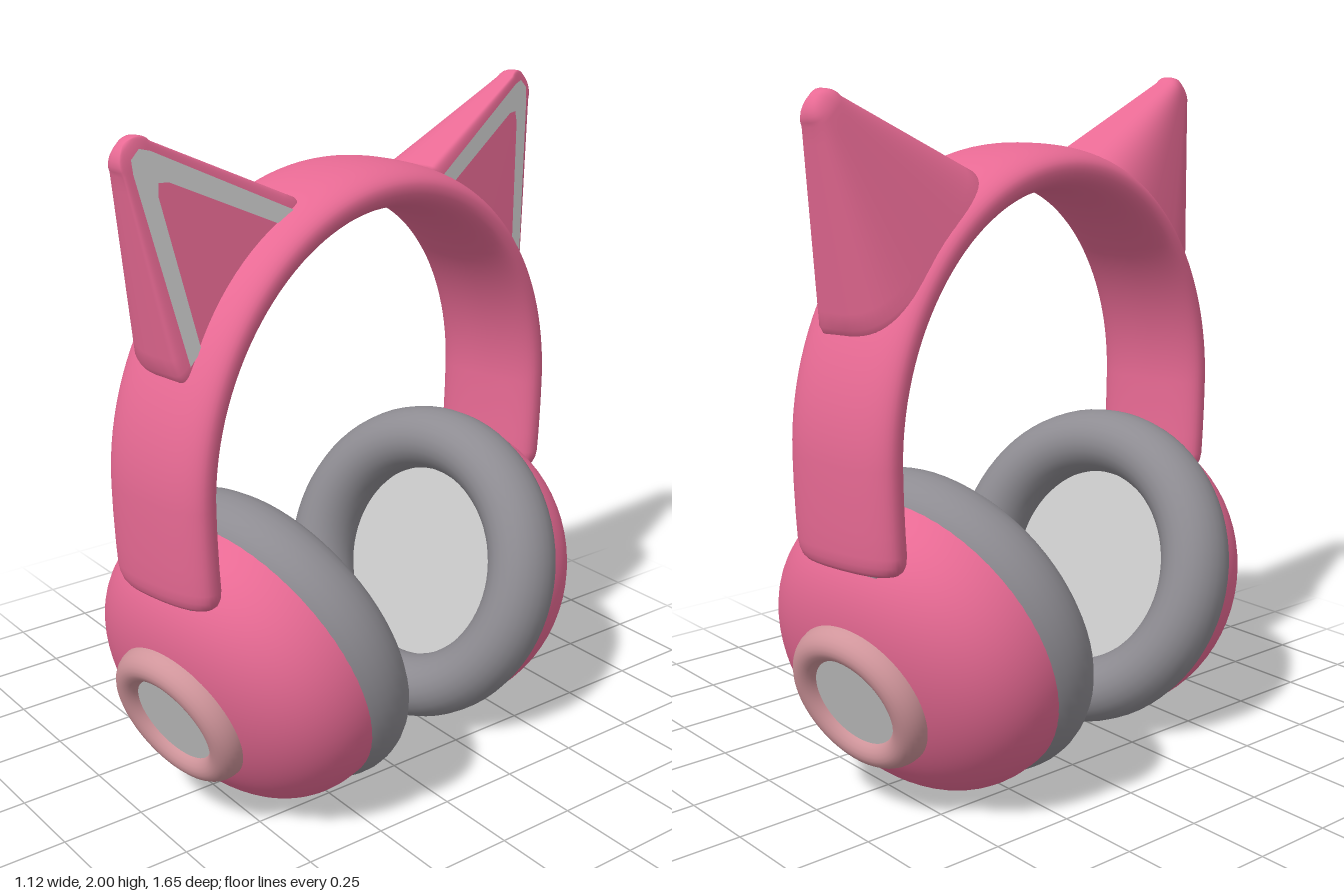
import * as THREE from 'three';

const PINK = 0xe86a94, ROSE = 0xd0959b, PAD = 0x8e8c92, GREY = 0xcccccc;
const TILT = 0.332; // lean of the ear cups
const YAW = 0.19;   // turn of the whole headset

function part(name, geometry, color, side = THREE.FrontSide) {
  const mesh = new THREE.Mesh(geometry, new THREE.MeshStandardMaterial({ color, side }));
  mesh.name = name;
  return mesh;
}

// Unit superellipse, power 2 is a circle, larger is boxier; the two halves may differ
function superellipse(n, pUpper, pLower = pUpper) {
  const f = (v, p) => Math.sign(v) * Math.abs(v) ** (2 / p);
  return Array.from({ length: n }, (_, i) => {
    const a = (i / n) * Math.PI * 2, p = i < n / 2 ? pUpper : pLower;
    return [f(Math.cos(a), p), f(Math.sin(a), p)];
  });
}

// Skin over closed rings of [x, y, z], with both ends capped
function loft(rings) {
  const n = rings[0].length, last = rings.length - 1;
  const pos = rings.flat(2), idx = [];
  for (let j = 0; j < last; j++) {
    for (let i = 0; i < n; i++) {
      const a = j * n + i, b = j * n + (i + 1) % n;
      idx.push(a, b, a + n, b, b + n, a + n);
    }
  }
  for (const j of [0, last]) {
    const c = pos.length / 3;
    for (let k = 0; k < 3; k++) pos.push(rings[j].reduce((s, v) => s + v[k], 0) / n);
    for (let i = 0; i < n; i++) {
      const a = j * n + i, b = j * n + (i + 1) % n;
      if (j === 0) idx.push(c, b, a); else idx.push(c, a, b);
    }
  }
  const g = new THREE.BufferGeometry();
  g.setAttribute('position', new THREE.Float32BufferAttribute(pos, 3));
  g.setIndex(idx);
  g.computeVertexNormals();
  return g;
}

// Mirrored copy across z = 0 with the winding put right
function mirrorZ(geometry) {
  const g = geometry.clone().scale(1, 1, -1);
  const a = g.index.array;
  for (let i = 0; i < a.length; i += 3) [a[i], a[i + 1]] = [a[i + 1], a[i]];
  g.computeVertexNormals();
  return g;
}

// Headband: an arch with short legs and rounded ends
function headbandGeometry() {
  const R = 0.725, cy = 1.042, section = superellipse(48, 2.4);
  const stations = []; // [y, z, normalY, normalZ, scale]
  const leg = [[0.748, 0.72], [0.752, 0.82], [0.762, 0.91], [0.78, 0.97], [0.805, 1], [0.87, 1], [0.96, 1]];
  const legAt = ([y, s], sign) => [y, sign * (R - 0.17 * (cy - y) ** 2), 0, sign, s];
  leg.forEach((l) => stations.push(legAt(l, -1)));
  for (let i = 0; i <= 64; i++) {
    const a = (i / 64) * Math.PI, c = -Math.cos(a), s = Math.sin(a);
    stations.push([cy + R * s, R * c, s, c, 1]);
  }
  leg.slice().reverse().forEach((l) => stations.push(legAt(l, 1)));
  return loft(stations.map(([y, z, ny, nz, s]) => section.map(([w, h]) => {
    const t = 0.0675 * h * s;
    return [0.185 * w * (1 - (1 - s) * 0.7), y + ny * t, z + nz * t];
  })));
}

// Ear surface: a runs along the base, t from the base to the tip
const earPoint = (a, t) => [1.588 + 0.452 * t - 0.198 * a, 0.51 + 0.343 * t + 0.222 * a];
const earFront = (t) => 0.1 - 0.088 * t;
const earBack = (t) => -0.168 + 0.148 * t;

// Flat front, rounded back, soft tip; the base is sunk into the band
function earGeometry() {
  const section = superellipse(64, 8, 3.2), rings = [];
  const add = (t, half, round) => {
    const front = earFront(t), depth = front - earBack(t), seam = front - depth * 0.25;
    rings.push(section.map(([a, w]) =>
      [seam + w * round * depth * (w > 0 ? 0.25 : 0.75), ...earPoint(a * half, t)]));
  };
  add(-0.07, 1, 1);
  for (let i = 0; i <= 12; i++) add(i / 15, 1 - i / 15, 1);
  for (let i = 1; i <= 6; i++) {
    const a = (i / 6) * Math.PI * 0.48;
    add(0.8 + 0.085 * Math.sin(a), 0.2 * Math.cos(a), Math.cos(a) ** 0.6);
  }
  return loft(rings);
}

// Light strip along the two free edges of the ear's front
function earTrimGeometry() {
  const outline = [[-0.87, 0], [-0.13, 0.78], [-0.06, 0.83], [0.06, 0.83], [0.13, 0.78], [0.87, 0],
    [0.69, 0], [0.08, 0.62], [0, 0.66], [-0.08, 0.62], [-0.69, 0]];
  const g = new THREE.ShapeGeometry(new THREE.Shape(outline.map((p) => new THREE.Vector2(...p))));
  const p = g.attributes.position;
  for (let i = 0; i < p.count; i++) {
    const a = p.getX(i), t = p.getY(i);
    p.setXYZ(i, earFront(t) + 0.003, ...earPoint(a, t));
  }
  g.computeVertexNormals();
  return g;
}

// Ear cup, built along +y (outwards) and then leaned
function earCup(name) {
  const cup = new THREE.Group();
  cup.name = name;

  const profile = [new THREE.Vector2(0.38, 0.02), new THREE.Vector2(0.46, 0.03)];
  for (let i = 0; i <= 24; i++) {
    const a = (i / 24) * 1.22;
    profile.push(new THREE.Vector2(0.47 * Math.cos(a) ** 0.8, 0.05 + 0.345 * Math.sin(a) ** 0.8));
  }
  profile.push(new THREE.Vector2(0.1, 0.376), new THREE.Vector2(0, 0.376));
  cup.add(part('cupShell', new THREE.LatheGeometry(profile, 64), PINK));

  // Torus lying flat, its tube stretched along the cup axis
  const flatTorus = (R, r, stretch, y) =>
    new THREE.TorusGeometry(R, r, 24, 72).rotateX(Math.PI / 2).scale(1, stretch, 1).translate(0, y, 0);
  cup.add(part('earPad', flatTorus(0.4, 0.1, 1.15, 0.015), PAD));
  cup.add(part('speakerCover',
    new THREE.CircleGeometry(0.4, 48).rotateX(Math.PI / 2).translate(0, 0.075, 0), GREY, THREE.DoubleSide));

  // Round badge on the outside
  cup.add(part('badgeRing', flatTorus(0.18, 0.05, 1.25, 0.37), ROSE));
  cup.add(part('badgePlate',
    new THREE.CircleGeometry(0.15, 8).rotateX(-Math.PI / 2).translate(0, 0.404, 0), GREY));

  cup.position.set(0, 0.49, 0.337);
  cup.rotation.x = Math.PI / 2 + TILT;
  return cup;
}

export function createModel() {
  const model = new THREE.Group();
  model.name = 'catEarHeadphones';
  model.add(part('headband', headbandGeometry(), PINK));

  const ear = earGeometry(), trim = earTrimGeometry();
  for (const [side, sign] of [['front', 1], ['rear', -1]]) {
    const place = (g) => (sign > 0 ? g : mirrorZ(g));
    model.add(part(side + 'Ear', place(ear), PINK));
    model.add(part(side + 'EarTrim', place(trim), GREY, THREE.DoubleSide));

    // Cup and the slider joining it to the band
    const half = new THREE.Group();
    half.name = side + 'CupAssembly';
    half.add(earCup(side + 'Cup'));
    half.add(part('slider', new THREE.BoxGeometry(0.22, 0.08, 0.06).translate(0, 0.782, 0.71), PAD));
    if (sign < 0) half.rotation.y = Math.PI;
    model.add(half);
  }
  model.rotation.y = YAW;
  const root = new THREE.Group();
  root.name = 'headphones';
  root.add(model);
  return root;
}
